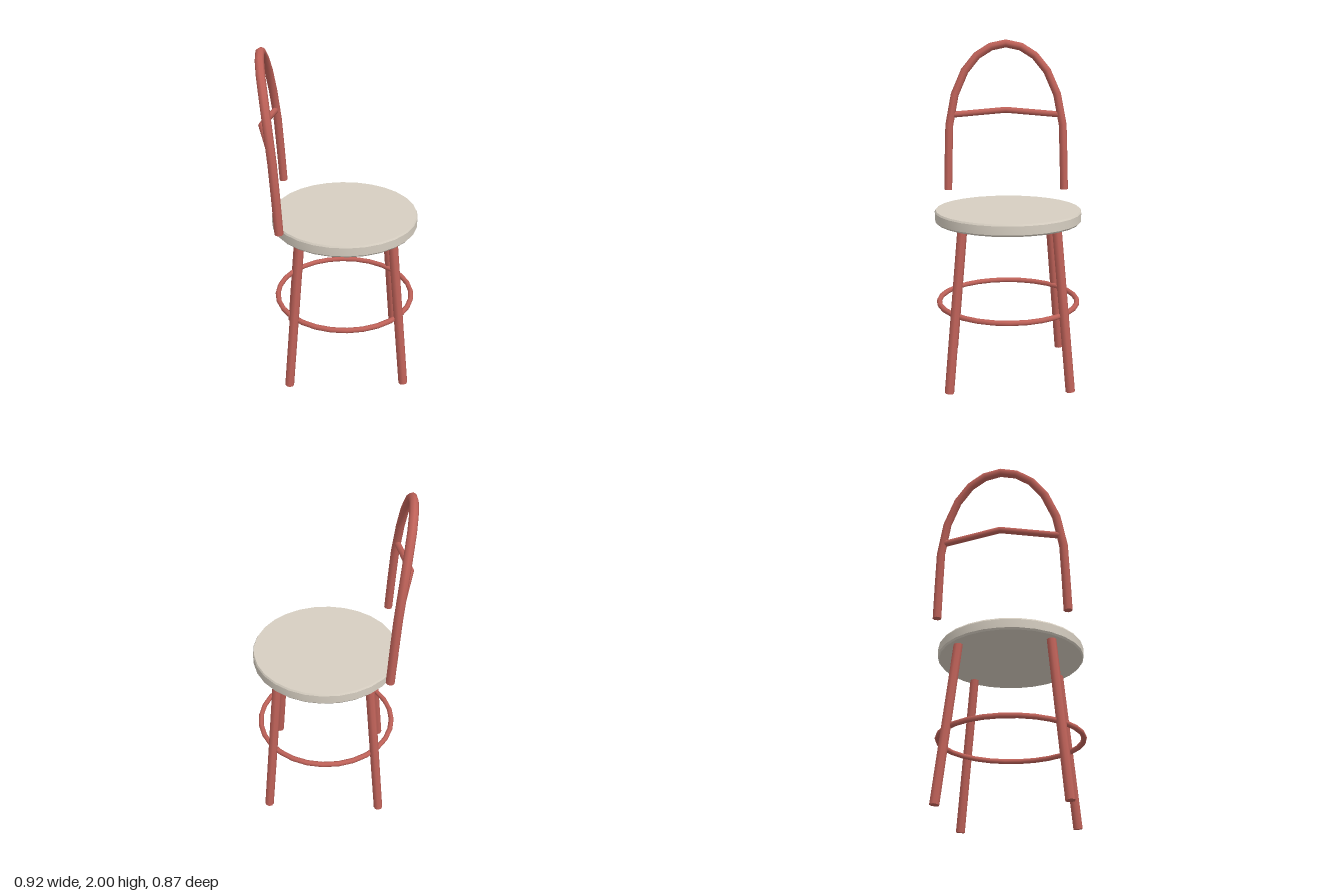
import * as THREE from 'three';
import { toCreasedNormals } from 'three/addons/utils/BufferGeometryUtils.js';

const CX = 0.025; // seat axis
const V = (x, y, z) => new THREE.Vector3(x, y, z);

export function createModel() {
  const group = new THREE.Group();
  const redPaint = new THREE.MeshStandardMaterial({ color: 0xbf6259 });
  redPaint.name = 'red painted metal';
  const cream = new THREE.MeshStandardMaterial({ color: 0xd6cec1 });
  cream.name = 'cream seat';

  const add = (name, geometry, material) => {
    const mesh = new THREE.Mesh(geometry, material);
    mesh.name = name;
    group.add(mesh);
    return mesh;
  };

  // Straight rod between two points
  const rod = (name, a, b, radius) => {
    const dir = b.clone().sub(a);
    const mesh = add(name, new THREE.CylinderGeometry(radius, radius, dir.length(), 8), redPaint);
    mesh.position.copy(a).add(b).multiplyScalar(0.5);
    mesh.quaternion.setFromUnitVectors(V(0, 1, 0), dir.normalize());
  };

  // Bent tube with one ring at each given point, capped at both ends
  const bentTube = (name, points, radius) => {
    const curve = new THREE.CatmullRomCurve3(points);
    curve.getPointAt = curve.getPoint;
    curve.getTangentAt = curve.getTangent;
    add(name, new THREE.TubeGeometry(curve, points.length - 1, radius, 8), redPaint);
    for (const t of [0, 1]) {
      const cap = add(name + 'Cap', new THREE.CircleGeometry(radius, 8), redPaint);
      const out = curve.getTangent(t).multiplyScalar(t ? 1 : -1);
      cap.position.copy(curve.getPoint(t));
      cap.quaternion.setFromUnitVectors(V(0, 0, 1), out);
    }
  };

  // Round seat with a slightly eased rim
  const profile = [[0, 0.94], [0.427, 0.94], [0.435, 0.95], [0.435, 1.0], [0.429, 1.01], [0, 1.01]];
  const seat = new THREE.LatheGeometry(profile.map(([r, y]) => new THREE.Vector2(r, y)), 28);
  add('seat', toCreasedNormals(seat, 0.5), cream).position.x = CX;

  // Four splayed legs
  for (const sx of [-1, 1]) {
    for (const sz of [-1, 1]) {
      const name = (sx > 0 ? 'left' : 'right') + (sz > 0 ? 'Front' : 'Back') + 'Leg';
      rod(name, V(CX + sx * 0.348, 0.003, sz * 0.348), V(CX + sx * 0.266, 0.95, sz * 0.266), 0.027);
    }
  }

  // Foot ring around the legs
  const ring = add('footRing', new THREE.TorusGeometry(0.417, 0.016, 8, 28), redPaint);
  ring.rotation.x = Math.PI / 2;
  ring.position.set(CX, 0.445, 0);

  // Arched backrest, leaning outward; one half is mirrored in z
  const half = [
    [-0.35, 1.06, 0.371], [-0.36, 1.26, 0.366], [-0.372, 1.47, 0.359], [-0.391, 1.66, 0.323],
    [-0.409, 1.805, 0.26], [-0.424, 1.9, 0.183], [-0.433, 1.955, 0.095],
  ];
  const arch = [
    ...half.map(p => V(...p)),
    V(-0.436, 1.975, 0),
    ...half.slice().reverse().map(([x, y, z]) => V(x, y, -z)),
  ];
  bentTube('backrestArch', arch, 0.025);

  // Cross rail bowed at its middle
  bentTube('backrestRail', [V(-0.382, 1.535, 0.338), V(-0.445, 1.56, 0), V(-0.382, 1.535, -0.338)], 0.019);

  return group;
}
